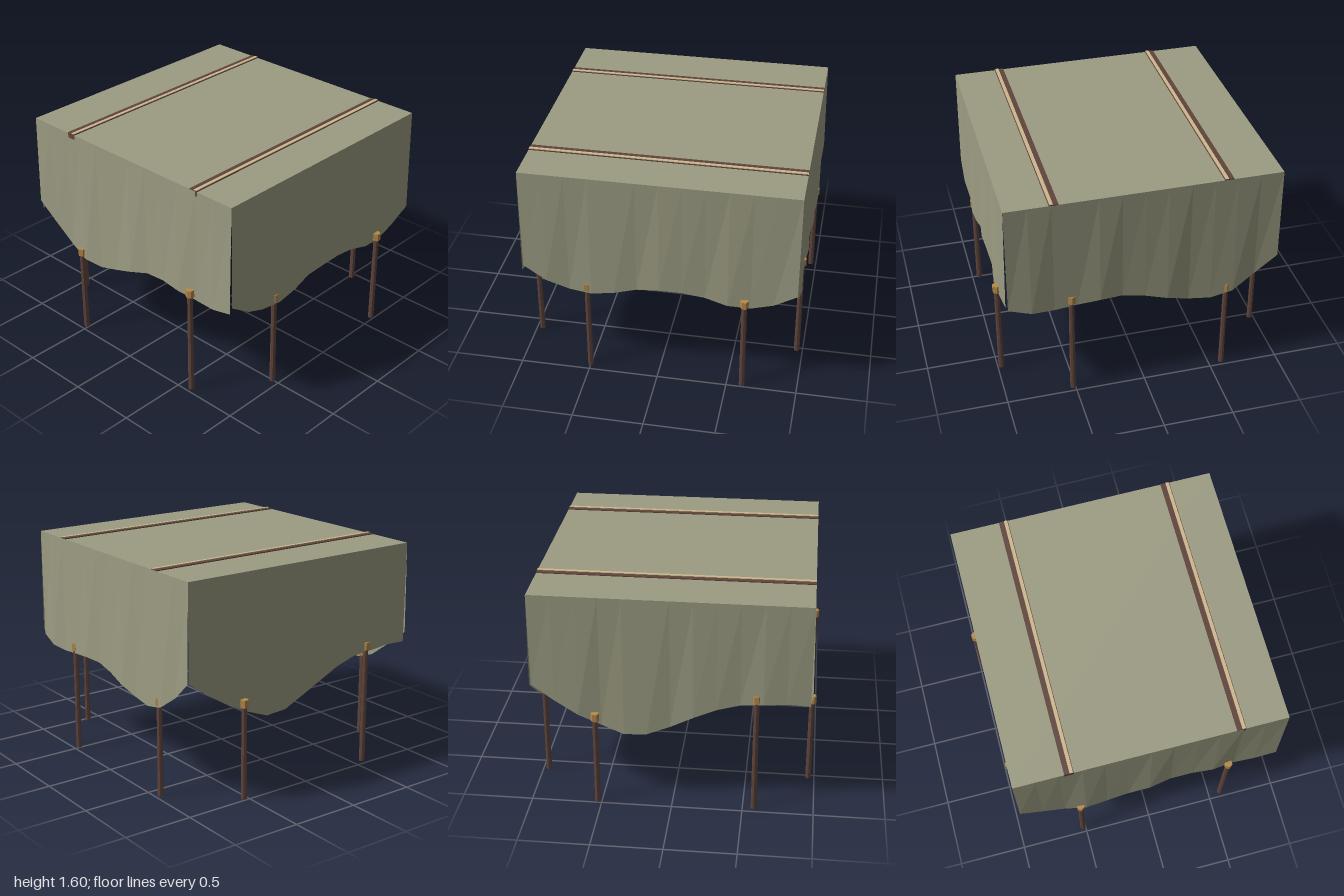
import * as THREE from 'three';

const mat = (name, color, extra = {}) => {
  const m = new THREE.MeshStandardMaterial({ color, ...extra });
  m.name = name;
  return m;
};

export function createModel() {
  const canvas = mat('canvas', 0x9c9c83, { side: THREE.DoubleSide, flatShading: true });
  const wood = mat('darkWood', 0x5f443b, { flatShading: true });
  const brass = mat('toggleTan', 0xb5894a, { flatShading: true });
  const rope = mat('paleStrip', 0xcdb78e);

  const model = new THREE.Group();
  model.name = 'canopy';
  const add = (name, geo, material, x = 0, y = 0, z = 0) => {
    const mesh = new THREE.Mesh(geo, material);
    mesh.name = name;
    mesh.position.set(x, y, z);
    model.add(mesh);
    return mesh;
  };

  const X = 0.957, Z0 = -0.97, Z1 = 0.945, TOP = 1.59;

  // flat cloth roof
  const roof = new THREE.PlaneGeometry(2 * X, Z1 - Z0).rotateX(-Math.PI / 2);
  add('roof', roof, canvas, 0, TOP, (Z0 + Z1) / 2);

  // hanging curtain from corner a to corner b, one hem height per fold line
  function curtain(name, a, b, out, hem, phase) {
    const n = hem.length - 1;
    const pos = [], index = [];
    hem.forEach((y, i) => {
      const t = i / n;
      const x = a[0] + (b[0] - a[0]) * t, z = a[1] + (b[1] - a[1]) * t;
      const d = 0.006 + 0.01 * Math.sin(i * 2.2 + phase);
      pos.push(x, TOP, z, x + out[0] * d, y, z + out[1] * d);
      if (i < n) {
        const k = 2 * i;
        index.push(k, k + 1, k + 2, k + 2, k + 1, k + 3);
      }
    });
    const geo = new THREE.BufferGeometry();
    geo.setAttribute('position', new THREE.Float32BufferAttribute(pos, 3));
    geo.setIndex(index);
    geo.computeVertexNormals();
    add(name, geo, canvas);
  }
  curtain('frontCurtain', [-X, Z1], [X, Z1], [0, 1],
    [0.92, 0.79, 0.67, 0.61, 0.605, 0.65, 0.71, 0.76, 0.775, 0.765, 0.75, 0.755, 0.795], 1);
  curtain('leftCurtain', [X, Z1], [X, Z0], [1, 0],
    [0.84, 0.735, 0.67, 0.66, 0.685, 0.725, 0.75, 0.745, 0.72, 0.685, 0.675, 0.72, 0.825], 0.3);
  curtain('backCurtain', [X, Z0], [-X, Z0], [0, -1],
    [0.79, 0.745, 0.735, 0.75, 0.77, 0.765, 0.735, 0.69, 0.64, 0.625, 0.66, 0.77, 0.91], 5.5);
  curtain('rightCurtain', [-X, Z0], [-X, Z1], [-1, 0],
    [0.91, 0.8, 0.7, 0.62, 0.56, 0.57, 0.63, 0.72, 0.79, 0.83, 0.85, 0.86, 0.85], 4.2);

  // two roof battens, each with a pale strip on top
  for (const x of [-0.571, 0.622]) {
    add('roofBatten', new THREE.BoxGeometry(0.065, 0.04, Z1 - Z0), wood, x, 1.576, (Z0 + Z1) / 2);
    add('battenStrip', new THREE.BoxGeometry(0.024, 0.004, Z1 - Z0), rope, x + 0.016, 1.598, (Z0 + Z1) / 2);
  }

  // poles with hexagonal toggles clamped on the hem: x, z, toggle height
  const poles = [
    [-0.52, 0.957, 0.66], [0.592, 0.96, 0.8],
    [-0.595, -0.96, 0.69], [0.517, -0.957, 0.795],
    [0.945, 0.5, 0.705], [0.974, -0.61, 0.718],
    [-0.952, 0.58, 0.885], [-0.974, -0.53, 0.692],
  ];
  for (const [x, z, y] of poles) {
    const h = y - 0.01;
    add('pole', new THREE.CylinderGeometry(0.019, 0.021, h, 8), wood, x, h / 2, z);
    add('poleToggle', new THREE.CylinderGeometry(0.03, 0.03, 0.056, 6), brass, x, y, z);
  }
  return model;
}
